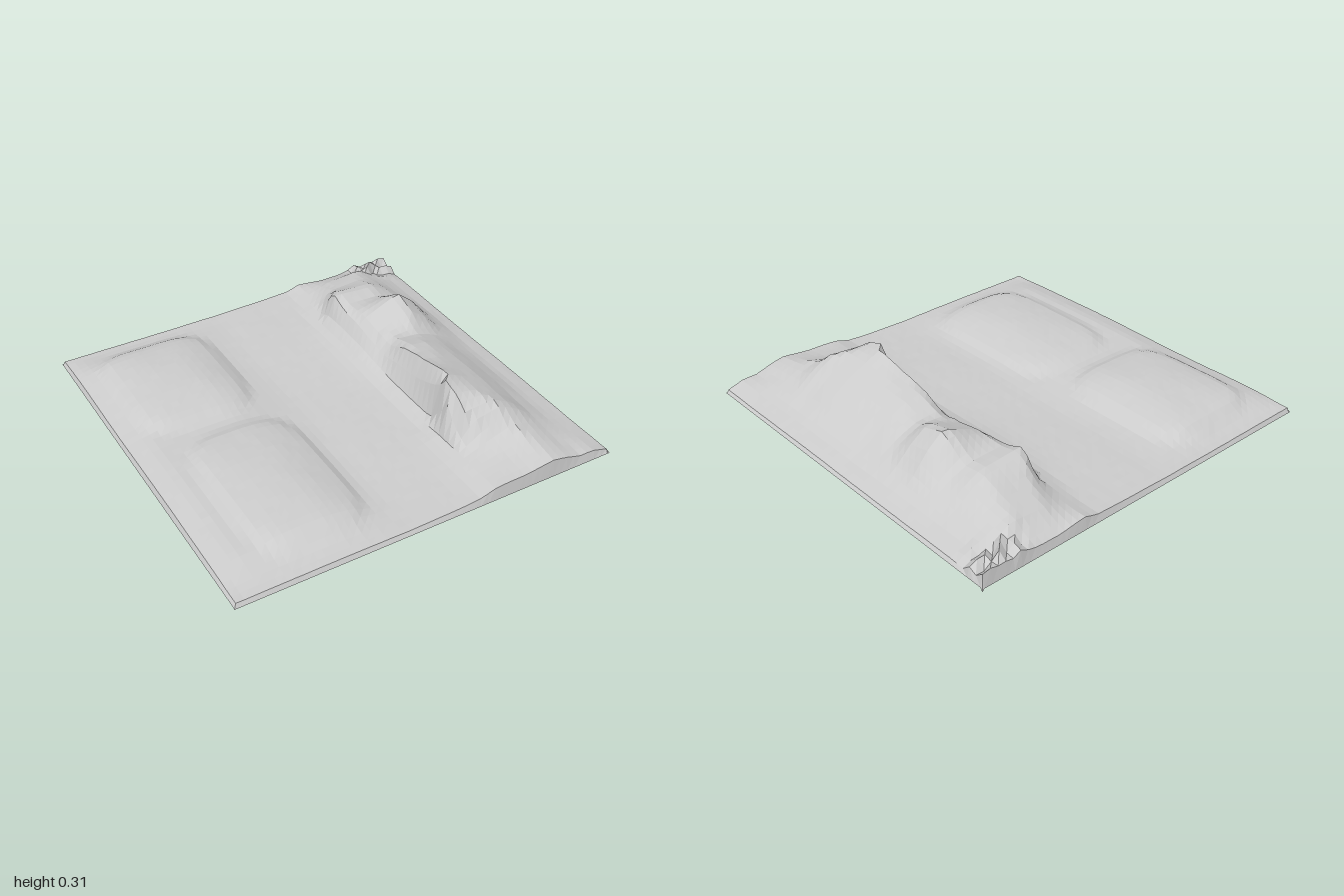
import * as THREE from 'three';

const { lerp, smoothstep, clamp } = THREE.MathUtils;

// Ridge stations along z: foot x, left crest x/height, right crest x/height, outer shoulder x/height
const RIDGE = [
  [-1.00, 0.42, 0.55, 0.05, 0.70, 0.05, 0.85, 0.05],
  [-0.92, 0.42, 0.55, 0.09, 0.70, 0.09, 0.82, 0.07],
  [-0.86, 0.41, 0.54, 0.12, 0.70, 0.13, 0.81, 0.09],
  [-0.73, 0.38, 0.48, 0.15, 0.68, 0.16, 0.81, 0.10],
  [-0.60, 0.36, 0.41, 0.23, 0.65, 0.21, 0.82, 0.10],
  [-0.48, 0.35, 0.42, 0.20, 0.63, 0.20, 0.83, 0.11],
  [-0.34, 0.35, 0.43, 0.20, 0.65, 0.30, 0.84, 0.11],
  [-0.20, 0.35, 0.44, 0.18, 0.64, 0.26, 0.83, 0.11],
  [-0.10, 0.36, 0.48, 0.20, 0.62, 0.19, 0.81, 0.11],
  [0.04, 0.37, 0.46, 0.25, 0.58, 0.23, 0.79, 0.11],
  [0.20, 0.37, 0.45, 0.27, 0.55, 0.25, 0.78, 0.12],
  [0.40, 0.37, 0.43, 0.325, 0.53, 0.27, 0.78, 0.12],
  [0.54, 0.34, 0.38, 0.29, 0.52, 0.27, 0.78, 0.11],
  [0.64, 0.34, 0.42, 0.21, 0.58, 0.24, 0.78, 0.11],
  [0.73, 0.34, 0.49, 0.13, 0.60, 0.17, 0.78, 0.10],
  [0.85, 0.34, 0.50, 0.10, 0.64, 0.13, 0.80, 0.08],
  [1.00, 0.34, 0.52, 0.08, 0.66, 0.10, 0.82, 0.06],
];

// Piecewise linear lookup in rows sorted by their first number
function sample(rows, t) {
  let i = 0;
  while (i < rows.length - 2 && t > rows[i + 1][0]) i++;
  const [a, b] = [rows[i], rows[i + 1]];
  const f = clamp((t - a[0]) / (b[0] - a[0]), 0, 1);
  return a.map((v, k) => lerp(v, b[k], f));
}

function ridgeHeight(x, z) {
  const [, foot, xl, hl, xr, hr, xo, ho] = sample(RIDGE, z);
  const profile = [[0, 0.037], [0.18, 0.042], [foot - 0.08, 0.05], [foot, 0.075], [xl, hl],
    [xr, hr], [lerp(xr, xo, 0.5), lerp(hr, ho, 0.4)], [xo, ho],
    [lerp(xo, 1, 0.45), 0.06], [1, 0.03]];
  return sample(profile, x)[1];
}

// Low domed mound with a rounded rectangular outline and a short step at its rim
function mound(x, z, cx, cz, rx, rz, h) {
  const d = (Math.abs((x - cx) / rx) ** 4 + Math.abs((z - cz) / rz) ** 4) ** 0.25;
  return h * (0.6 * Math.max(0, 1 - d * d) + 0.4 * (1 - smoothstep(d, 0.85, 1.1)));
}

function moundHeight(x, z) {
  const swell = 0.035 * smoothstep(x, -1.05, -0.85) * (1 - smoothstep(x, -0.5, -0.1))
    * (1 - smoothstep(Math.abs(z), 0.75, 1));
  return 0.034 + swell
    + mound(x, z, -0.58, -0.5, 0.31, 0.38, 0.055)
    + mound(x, z, -0.5, 0.43, 0.29, 0.44, 0.05);
}

function makeNoise(seed) {
  return () => {
    seed = (seed * 16807) % 2147483647;
    return seed / 2147483647 - 0.5;
  };
}

export function createModel() {
  const group = new THREE.Group();
  const noise = makeNoise(91);
  const cells = 50;
  const geo = new THREE.PlaneGeometry(2, 2, cells, cells).rotateX(-Math.PI / 2);
  const p = geo.attributes.position;
  // Grid line positions: even inside, with a narrow outermost strip
  const line = (i) => (i === 0 ? -1 : i === cells ? 1 : lerp(-0.988, 0.988, (i - 1) / (cells - 2)));

  for (let i = 0; i < p.count; i++) {
    const col = i % (cells + 1), row = Math.floor(i / (cells + 1));
    const x = line(col), z = line(row), n = noise();
    let y = x < 0 ? lerp(moundHeight(x, z), 0.037, smoothstep(x, -0.12, 0)) : ridgeHeight(x, z);

    // Gentle unevenness, then rubble in the back corner beside the ridge
    y += n * 0.0015 + 0.003 * Math.sin(7 * x + 2) * Math.sin(6 * z);
    const rubble = smoothstep(x, 0.66, 0.85) * (1 - smoothstep(z, -0.96, -0.78));
    y += rubble * (0.015 + n * 0.07);

    // Borders drop to a thin flat rim
    if (col === 0 || col === cells) y = 0.016;
    if (row === 0 || row === cells) y = 0.012;
    if (row === 0 && col === cells) y = 0;
    p.setXYZ(i, x, Math.max(0, y), z);
  }

  const terrain = new THREE.Mesh(geo, new THREE.MeshStandardMaterial({
    color: 0xcccccc, flatShading: true, side: THREE.DoubleSide,
  }));
  terrain.name = 'terrain';
  group.add(terrain);
  return group;
}
